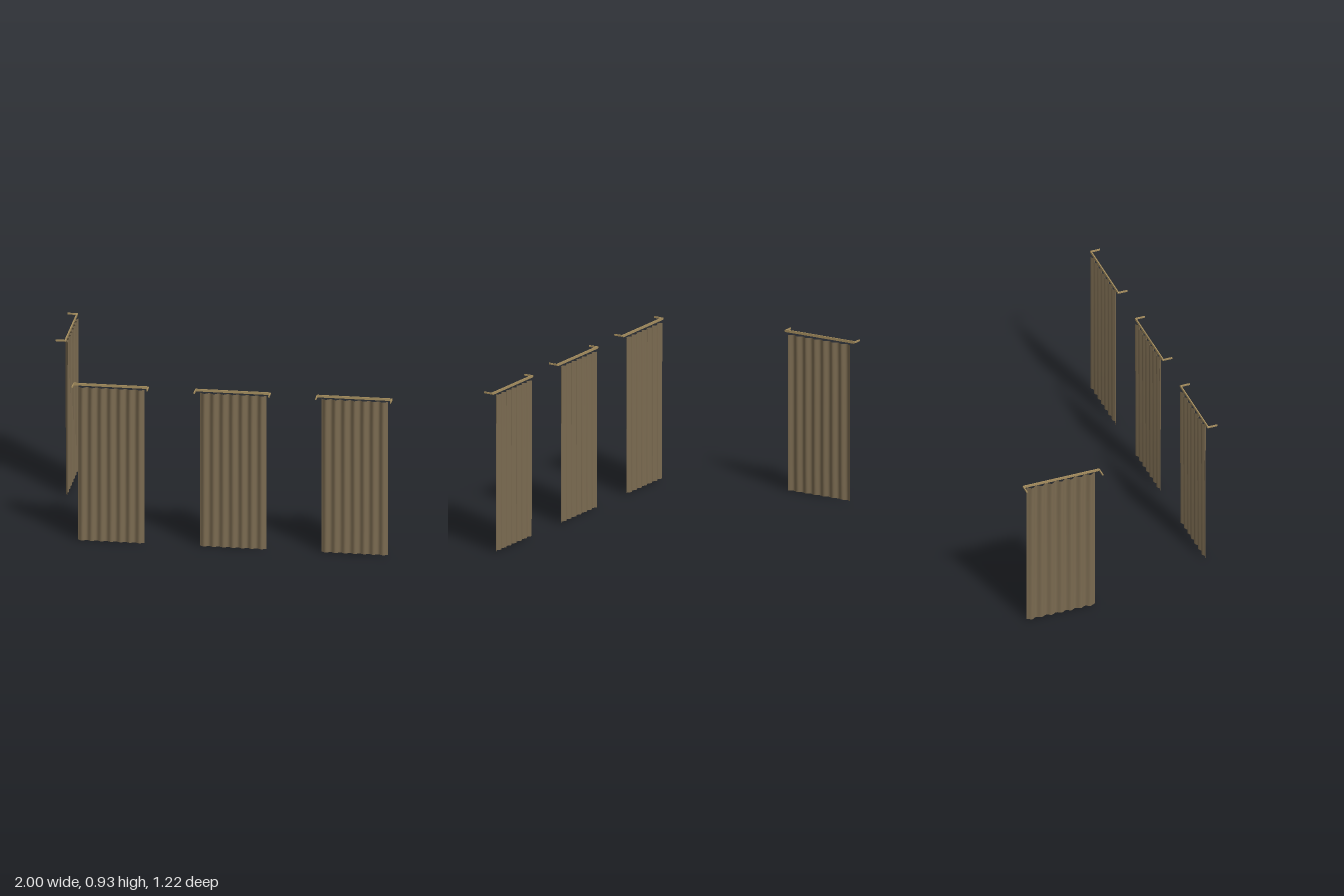
import * as THREE from 'three';

const FABRIC = new THREE.MeshStandardMaterial({ color: 0x7a6a50, side: THREE.DoubleSide });
FABRIC.name = 'brown fabric';
const BRASS = new THREE.MeshStandardMaterial({ color: 0xa89060 });
BRASS.name = 'dull brass';

const FOLDS = 7, HEIGHT = 0.9, RAIL_Y = 0.918, REACH = 0.055;

// Pleated sheet: folds grow a little shallower and drift slightly towards the hem
function makeCloth(width) {
  const geo = new THREE.PlaneGeometry(width, HEIGHT, FOLDS * 8, 6);
  const pos = geo.attributes.position;
  for (let i = 0; i < pos.count; i++) {
    const t = pos.getX(i) / width + 0.5;
    const drop = 0.5 - pos.getY(i) / HEIGHT;
    const depth = 0.0085 - 0.002 * drop;
    const drift = 0.15 * drop * Math.sin(t * Math.PI * 3);
    pos.setZ(i, -depth * Math.cos(t * FOLDS * Math.PI * 2 + drift));
  }
  geo.computeVertexNormals();
  const cloth = new THREE.Mesh(geo, FABRIC);
  cloth.name = 'curtainCloth';
  cloth.position.set(0, HEIGHT / 2, -REACH - 0.0025);
  return cloth;
}

// Flat rail with rounded ends
function makeRail(length) {
  const r = 0.007, h = length / 2 - r, thick = 0.006;
  const shape = new THREE.Shape();
  shape.absarc(h, 0, r, -Math.PI / 2, Math.PI / 2);
  shape.absarc(-h, 0, r, Math.PI / 2, Math.PI * 1.5);
  const geo = new THREE.ExtrudeGeometry(shape, { depth: thick, bevelEnabled: false, curveSegments: 8 });
  const rail = new THREE.Mesh(geo, BRASS);
  rail.name = 'curtainRail';
  rail.position.set(0, RAIL_Y, -REACH - thick / 2);
  return rail;
}

// One hanging curtain; the wall is at local z = 0 and the cloth hangs at negative z
function makeCurtain(name, clothWidth, railLength) {
  const group = new THREE.Group();
  group.name = name;
  group.add(makeCloth(clothWidth), makeRail(railLength));
  for (const side of [-1, 1]) {
    const bracket = new THREE.Mesh(new THREE.BoxGeometry(0.006, 0.009, REACH), BRASS);
    bracket.name = side < 0 ? 'rightBracket' : 'leftBracket';
    bracket.position.set(side * (railLength / 2 - 0.004), RAIL_Y, -REACH / 2);
    group.add(bracket);
  }
  return group;
}

export function createModel() {
  const model = new THREE.Group();
  model.name = 'curtains';

  // Row of three along the front
  [-0.583, 0.102, 0.785].forEach((x, i) => {
    const curtain = makeCurtain('frontCurtain' + (i + 1), 0.375, 0.427);
    curtain.position.set(x, 0, 0.61);
    model.add(curtain);
  });

  // Wider one on the right-hand side
  const sideCurtain = makeCurtain('sideCurtain', 0.407, 0.46);
  sideCurtain.rotation.y = -Math.PI / 2;
  sideCurtain.position.set(-1, 0, -0.379);
  model.add(sideCurtain);

  return model;
}
